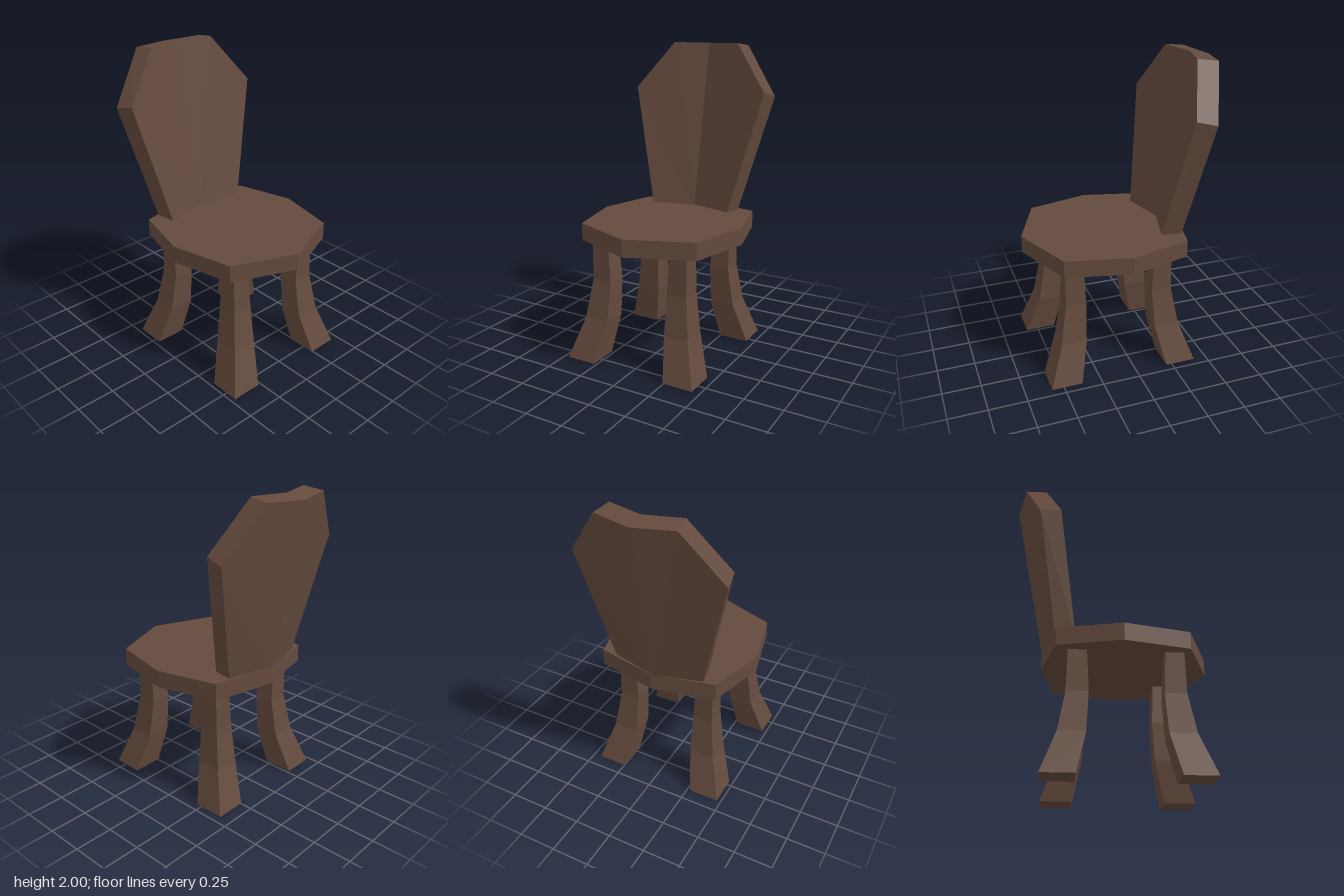
import * as THREE from 'three';

const wood = new THREE.MeshStandardMaterial({ color: 0x644a3d, flatShading: true });
wood.name = 'dark brown wood';

// Joins equal rings of [x, y, z] points; rings run anticlockwise seen from the last ring's end.
function loft(name, rings) {
  const out = [];
  const tri = (a, b, c) => out.push(...a, ...b, ...c);
  const n = rings[0].length;
  for (let r = 0; r < rings.length - 1; r++) {
    const lo = rings[r], hi = rings[r + 1];
    for (let i = 0; i < n; i++) {
      const j = (i + 1) % n;
      tri(lo[i], lo[j], hi[j]);
      tri(lo[i], hi[j], hi[i]);
    }
  }
  const first = rings[0], last = rings[rings.length - 1];
  for (let i = 1; i < n - 1; i++) {
    tri(first[0], first[i + 1], first[i]);
    tri(last[0], last[i], last[i + 1]);
  }
  const geometry = new THREE.BufferGeometry();
  geometry.setAttribute('position', new THREE.Float32BufferAttribute(out, 3));
  geometry.computeVertexNormals();
  const mesh = new THREE.Mesh(geometry, wood);
  mesh.name = name;
  return mesh;
}

export function createModel() {
  const chair = new THREE.Group();
  chair.name = 'chair';

  // Eight-sided seat slab
  const outline = [
    [0, 0.633], [0.417, 0.467], [0.515, 0.055], [0.41, -0.345],
    [0, -0.435], [-0.41, -0.345], [-0.512, 0.055], [-0.414, 0.467],
  ];
  chair.add(loft('seat', [0.783, 0.895].map((y) => outline.map(([x, z]) => [x, y, z]))));

  // Backrest: half outlines from bottom centre to top centre, mirrored about its middle crease
  const middle = -0.012;
  const backRing = (half) => [
    ...half.map(([x, y, z]) => [middle + x, y, z]),
    ...half.slice(1, -1).reverse().map(([x, y, z]) => [middle - x, y, z]),
  ];
  const backFace = [[0, 0.88, -0.43], [0.308, 0.88, -0.35], [0.507, 1.66, -0.467], [0.26, 1.983, -0.575], [0, 1.973, -0.635]];
  const frontFace = [[0, 0.88, -0.297], [0.285, 0.88, -0.222], [0.483, 1.69, -0.338], [0.24, 2, -0.442], [0, 1.997, -0.505]];
  chair.add(loft('backrest', [backRing(backFace), backRing(frontFace)]));

  // Four curved legs: height, outward x, outward z, half width
  const sections = [
    [0, 0.358, 0.396, 0.101],
    [0.265, 0.295, 0.32, 0.083],
    [0.52, 0.275, 0.292, 0.0675],
    [0.79, 0.285, 0.296, 0.058],
  ];
  const corners = [[1, 1], [1, -1], [-1, -1], [-1, 1]];
  for (const [sx, sz] of corners) {
    const rings = sections.map(([y, ox, oz, h]) =>
      corners.map(([cx, cz]) => [-0.012 + sx * ox + cx * h, y, 0.082 + sz * oz + cz * h]));
    chair.add(loft(`${sz > 0 ? 'front' : 'back'}${sx > 0 ? 'Left' : 'Right'}Leg`, rings));
  }

  return chair;
}
